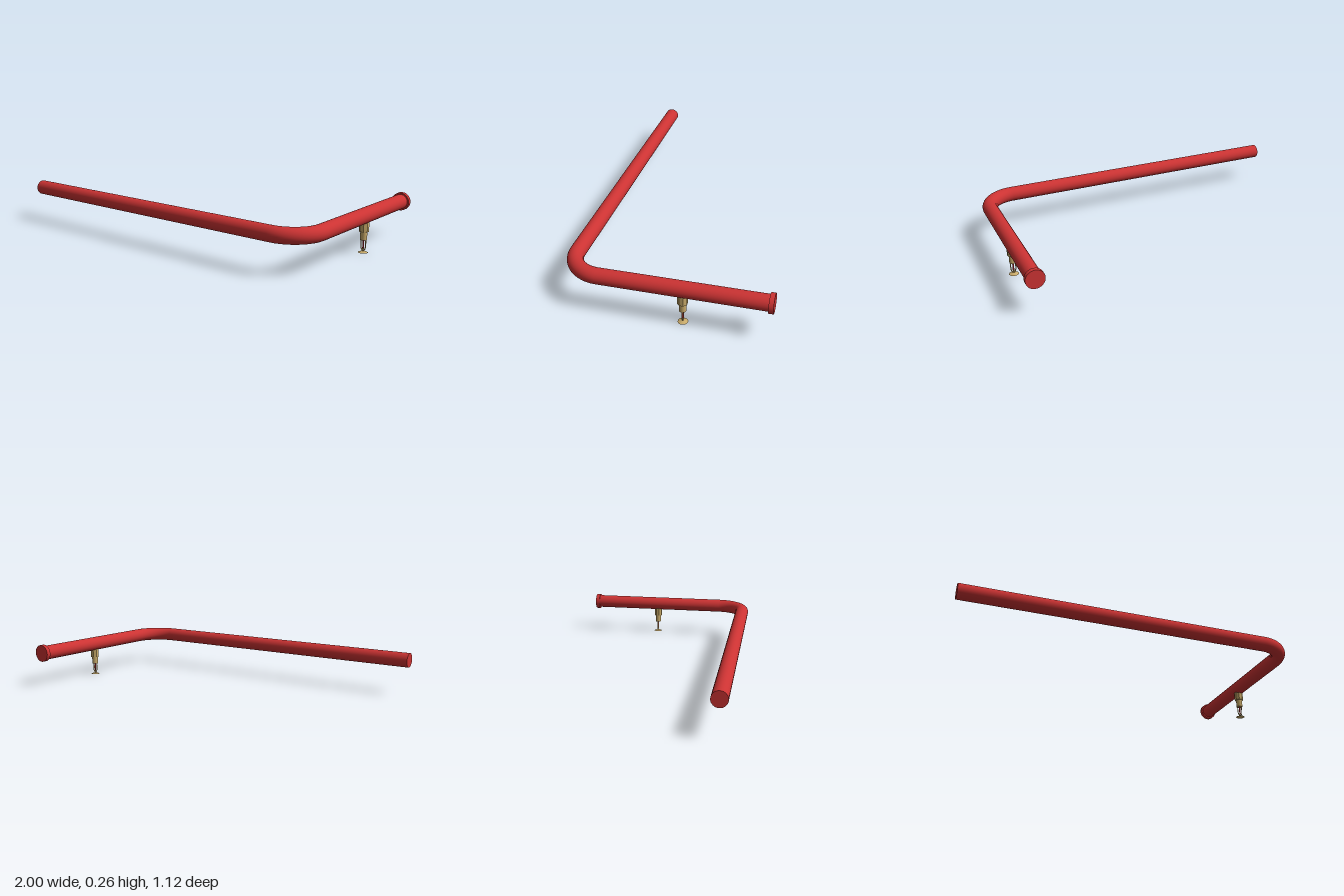
import * as THREE from 'three';

export function createModel() {
  const group = new THREE.Group();
  const red = new THREE.MeshStandardMaterial({ color: 0xcc3333 });
  red.name = 'red paint';
  const brass = new THREE.MeshStandardMaterial({ color: 0xc8aa6a });
  brass.name = 'brass';
  const brassFlat = brass;

  const PIPE = 0.043, Y = 0.205, X = 0.947, Z = 0.517, BEND = 0.175;

  const add = (name, geometry, material, parent = group) => {
    const mesh = new THREE.Mesh(geometry, material);
    mesh.name = name;
    parent.add(mesh);
    return mesh;
  };

  // Long pipe along x
  const longEnd = X - BEND;
  const long = add('longPipe', new THREE.CylinderGeometry(PIPE, PIPE, longEnd + 1, 32), red);
  long.rotation.z = Math.PI / 2;
  long.position.set((longEnd - 1) / 2, Y, Z);

  // Quarter bend
  const elbow = add('elbow', new THREE.TorusGeometry(BEND, PIPE, 32, 24, Math.PI / 2), red);
  elbow.rotation.x = Math.PI / 2;
  elbow.position.set(longEnd, Y, Z - BEND);

  // Short pipe along z with its end cap
  const shortStart = Z - BEND, shortEnd = -0.55;
  const short = add('shortPipe', new THREE.CylinderGeometry(PIPE, PIPE, shortStart - shortEnd, 32), red);
  short.rotation.x = Math.PI / 2;
  short.position.set(X, Y, (shortStart + shortEnd) / 2);
  const cap = add('endCap', new THREE.CylinderGeometry(0.052, 0.052, 0.025, 32), red);
  cap.rotation.x = Math.PI / 2;
  cap.position.set(X, Y, -0.5485);

  // Sprinkler head hanging below the short pipe
  const head = new THREE.Group();
  head.name = 'sprinklerHead';
  head.position.set(X, 0, -0.102);
  group.add(head);

  const turned = (name, rTop, rBottom, top, bottom, sides, material) => {
    const geometry = new THREE.CylinderGeometry(rTop, rBottom, top - bottom, sides);
    const faceted = sides <= 8;
    if (faceted) geometry.rotateY(Math.PI / sides);
    const mesh = add(name, faceted ? geometry.toNonIndexed() : geometry, material, head);
    if (faceted) mesh.geometry.computeVertexNormals();
    mesh.position.y = (top + bottom) / 2;
    return mesh;
  };
  turned('fittingCollar', 0.027, 0.027, 0.172, 0.117, 8, brassFlat);
  turned('fittingNeck', 0.019, 0.019, 0.117, 0.071, 20, brass);
  turned('glassBulb', 0.0045, 0.0045, 0.071, 0.022, 12, red);
  turned('bulbSeat', 0.005, 0.002, 0.024, 0.006, 12, brass);

  // Frame arms on either side of the bulb
  for (const side of [-1, 1]) {
    const arm = new THREE.CatmullRomCurve3([
      new THREE.Vector3(side * 0.014, 0.074, 0),
      new THREE.Vector3(side * 0.014, 0.04, 0),
      new THREE.Vector3(side * 0.011, 0.02, 0),
      new THREE.Vector3(side * 0.002, 0.008, 0),
    ]);
    add('frameArm', new THREE.TubeGeometry(arm, 12, 0.003, 8), brass, head);
  }

  // Shallow domed deflector
  turned('deflector', 0.008, 0.027, 0.008, 0, 24, brass);
  return group;
}
